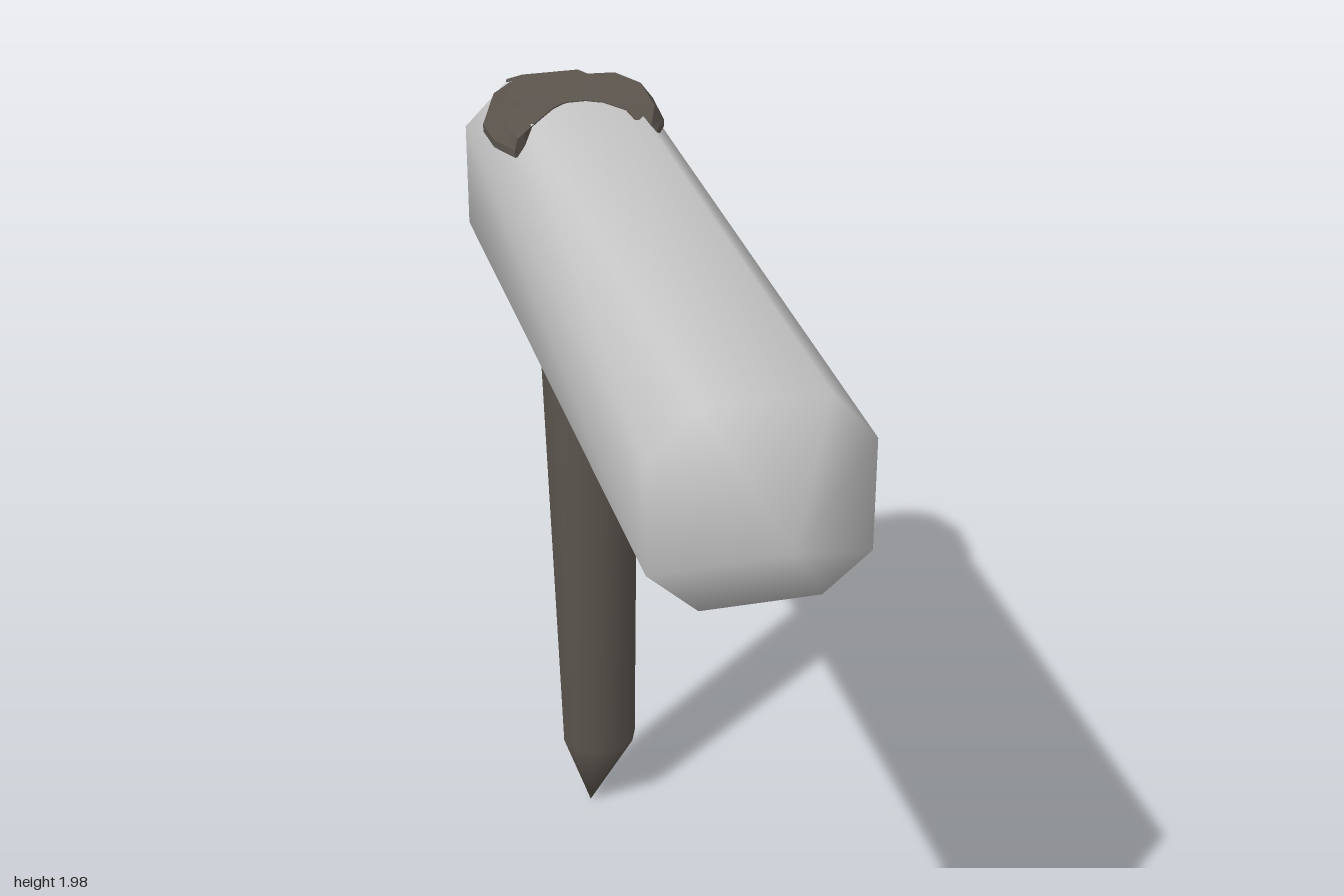
import * as THREE from 'three';
import { toCreasedNormals } from 'three/addons/utils/BufferGeometryUtils.js';

// Skins a list of equal-sized rings, closing each end with a fan to a given point.
function loft(rings, startTip, endTip) {
  const n = rings[0].length, last = (rings.length - 1) * n;
  const points = [...rings.flat(), startTip, endTip];
  const s = points.length - 2, e = points.length - 1, index = [];
  for (let j = 0; j < n; j++) {
    const k = (j + 1) % n;
    for (let i = 0; i < last; i += n) {
      index.push(i + j, i + k, i + n + k, i + j, i + n + k, i + n + j);
    }
    index.push(s, k, j, e, last + j, last + k);
  }
  const g = new THREE.BufferGeometry();
  g.setAttribute('position', new THREE.Float32BufferAttribute(points.flat(), 3));
  g.setIndex(index);
  g.computeVertexNormals();
  return g;
}

function createBeam() {
  // Octagonal section, counter-clockwise from the lower left
  const section = [[-0.12, 1.51], [0.13, 1.51], [0.225, 1.605], [0.225, 1.85],
    [0.13, 1.96], [-0.13, 1.96], [-0.225, 1.85], [-0.225, 1.605]];
  const backZ = [-0.995, -0.995, -0.95, -0.95, -0.925, -0.925, -0.95, -0.95];
  const frontZ = [0.77, 0.77, 0.785, 0.785, 0.79, 0.79, 0.77, 0.77];
  const endFace = section.map(([x, y]) => [x * 0.85, y > 1.75 ? 1.74 + (y - 1.74) * 0.68 : y + 0.005, -1]);
  const back = section.map(([x, y], i) => [x, y, backZ[i]]);
  const front = section.map(([x, y], i) => [x, y, frontZ[i]]);
  return loft([endFace, back, front], [0, 1.7, -1], [0, 1.75, 1]);
}

function createSpike() {
  const ring = (y, cx, cz, rx, rz) => Array.from({ length: 10 }, (_, i) => {
    const a = (i / 10) * Math.PI * 2;
    return [cx + rx * Math.cos(a), y, cz - rz * Math.sin(a)];
  });
  return loft([ring(0.195, 0.034, -0.75, 0.096, 0.08), ring(1.54, 0.015, -0.73, 0.125, 0.1)],
    [0.005, 0, -0.74], [0.015, 1.54, -0.73]);
}

function createClaw() {
  // Horseshoe from the left tip around the back to the right tip, as x, z
  const outer = [[-0.18, -0.59], [-0.21, -0.68], [-0.215, -0.78], [-0.16, -0.925], [-0.14, -0.91], [-0.12, -0.965],
    [0.05, -0.965], [0.07, -0.93], [0.15, -0.925], [0.205, -0.84], [0.195, -0.7], [0.15, -0.59]];
  const inner = [[-0.155, -0.6], [-0.105, -0.67], [-0.06, -0.73], [-0.03, -0.755], [-0.02, -0.76], [-0.01, -0.76],
    [0.015, -0.76], [0.025, -0.76], [0.04, -0.75], [0.06, -0.74], [0.1, -0.68], [0.105, -0.62]];
  const rings = outer.map(([x, z], i) => {
    const [u, w] = inner[i];
    const rim = 1.955 - 0.035 * THREE.MathUtils.smoothstep(Math.abs(x), 0.1, 0.21);
    const tx = x + (u - x) * 0.25, tz = z + (w - z) * 0.25;
    const top = THREE.MathUtils.mapLinear(tz, -0.6, -0.9, 1.952, 1.978);
    return [[x, rim - 0.018, z], [x, rim, z], [tx, top, tz], [u, 1.963, w], [u, 1.91, w]];
  });
  const centre = (r) => [0, 1, 2].map((c) => r.reduce((t, p) => t + p[c], 0) / r.length);
  return toCreasedNormals(loft(rings, centre(rings[0]), centre(rings.at(-1))), 0.5);
}

export function createModel() {
  const paleGrey = new THREE.MeshStandardMaterial({ name: 'paleGrey', color: 0xc8c8c8 });
  const darkBrown = new THREE.MeshStandardMaterial({ name: 'darkBrown', color: 0x5c554e });
  const group = new THREE.Group();
  const add = (name, geometry, material) => {
    const mesh = new THREE.Mesh(geometry, material);
    mesh.name = name;
    group.add(mesh);
  };
  add('beam', createBeam(), paleGrey);
  add('spike', createSpike(), darkBrown);
  add('claw', createClaw(), darkBrown);
  return group;
}
